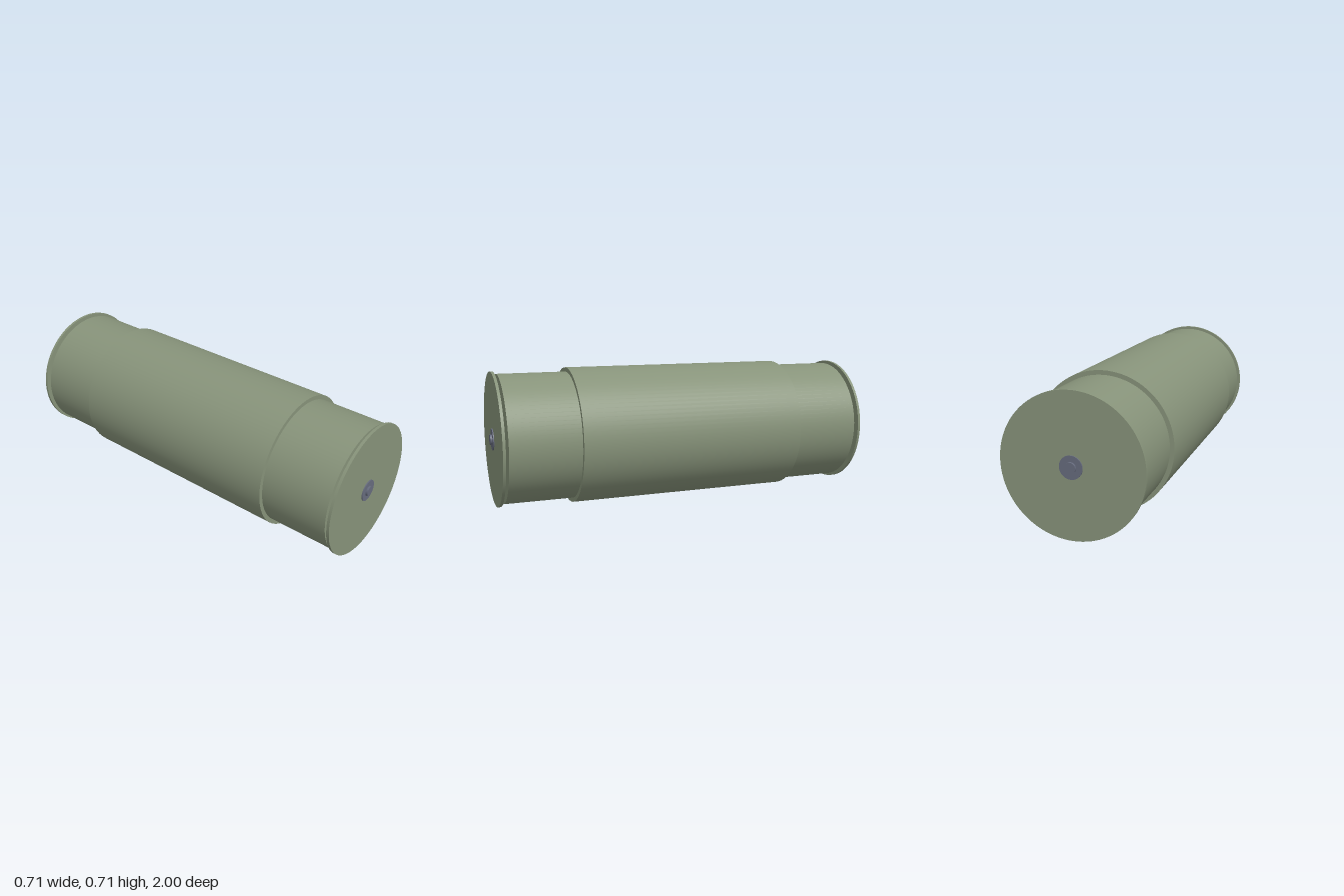
import * as THREE from 'three';

const AXIS_Y = 0.353;

export function createModel() {
  const model = new THREE.Group();
  model.name = 'roller';
  const green = new THREE.MeshStandardMaterial({ color: 0x87937a });
  const steel = new THREE.MeshStandardMaterial({ color: 0x666b7d });

  // Closed cylinder lying along z, between z0 and z1
  const drum = (name, radius, z0, z1, material) => {
    const geometry = new THREE.CylinderGeometry(radius, radius, Math.abs(z1 - z0), 96);
    geometry.rotateX(Math.PI / 2);
    const mesh = new THREE.Mesh(geometry, material);
    mesh.name = name;
    mesh.position.set(0, AXIS_Y, (z0 + z1) / 2);
    model.add(mesh);
  };

  // Wide middle sleeve over the long inner drum
  drum('sleeve', 0.353, -0.6, 0.6, green);
  drum('innerDrum', 0.331, -0.955, 0.955, green);

  // End plate, hub washer and axle stub at each end
  for (const [side, s] of [['front', 1], ['back', -1]]) {
    drum(side + 'EndPlate', 0.344, 0.971 * s, 0.985 * s, green);
    drum(side + 'Hub', 0.055, 0.967 * s, 0.99 * s, steel);
    drum(side + 'AxleStub', 0.026, 0.95 * s, 1.0 * s, steel);
  }
  return model;
}
